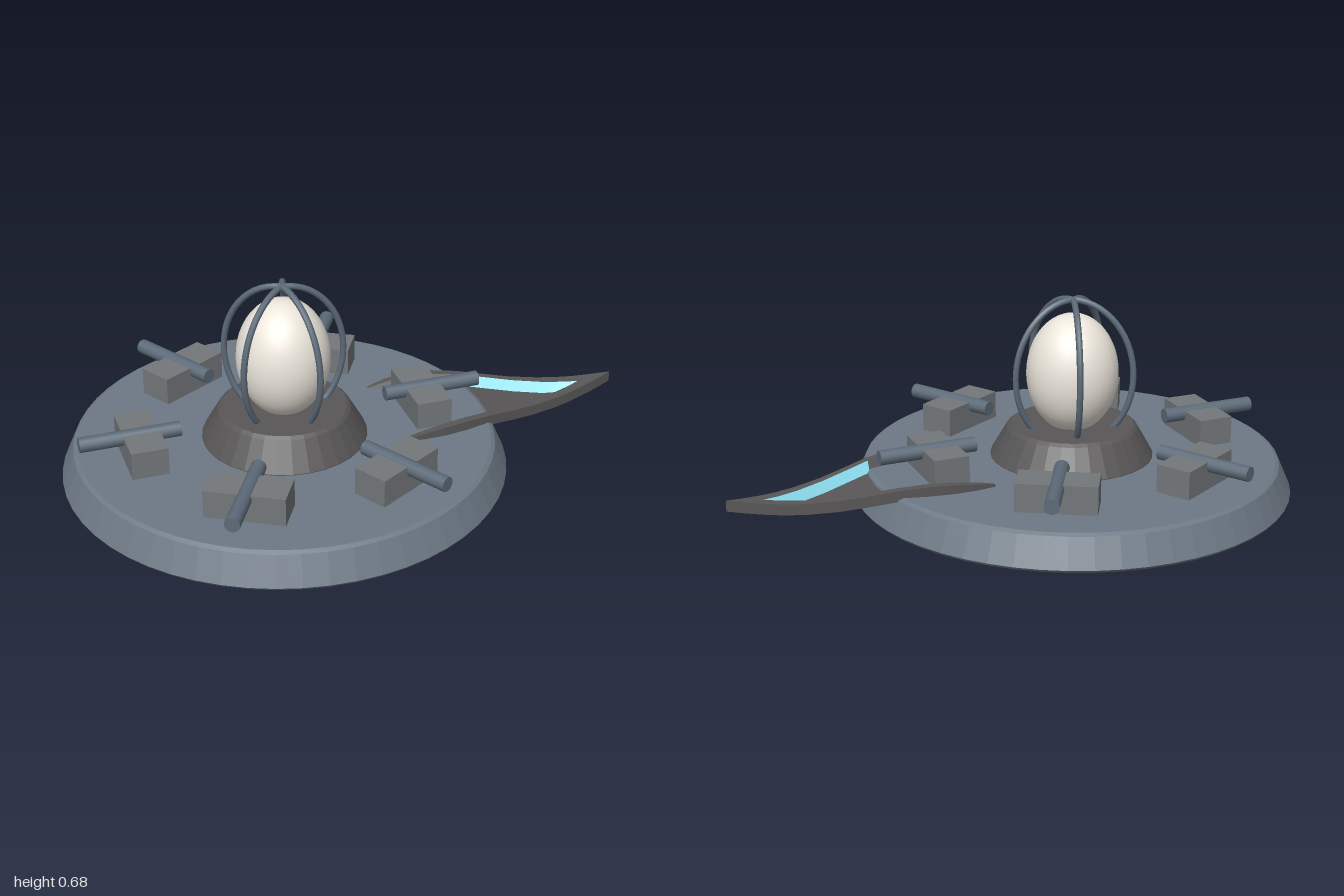
import * as THREE from 'three';
import { toCreasedNormals } from 'three/addons/utils/BufferGeometryUtils.js';

const CX = -0.235; // axis of the round base
const mat = (color, extra = {}) => new THREE.MeshStandardMaterial({ color, ...extra });
const steel = mat(0x6d7985), dark = mat(0x585656), grey = mat(0x73777a), pipe = mat(0x5c6a78);
const shell = mat(0xece6dc);
const blade = mat(0x585656, { side: THREE.DoubleSide });
const glow = mat(0x8fe3f5, { side: THREE.DoubleSide });

function add(parent, name, geometry, material, x = 0, y = 0, z = 0) {
  const mesh = new THREE.Mesh(geometry, material);
  mesh.name = name;
  mesh.position.set(x, y, z);
  parent.add(mesh);
  return mesh;
}

function lathe(profile, sides) {
  const points = profile.map(([r, y]) => new THREE.Vector2(r, y));
  return toCreasedNormals(new THREE.LatheGeometry(points, sides), 0.1);
}

// Ribbon of quads between two edges with the same number of points
function ribbon(a, b) {
  const pos = [], index = [];
  a.forEach((p, k) => {
    pos.push(...p, ...b[k]);
    if (k) {
      const n = 2 * k;
      index.push(n - 2, n - 1, n, n, n - 1, n + 1);
    }
  });
  const g = new THREE.BufferGeometry();
  g.setAttribute('position', new THREE.Float32BufferAttribute(pos, 3));
  g.setIndex(index);
  g.computeVertexNormals();
  return g;
}

function createProw() {
  const prow = new THREE.Group();
  prow.name = 'prow';
  // x, top height, outer half width, inner half width
  const rows = [
    [0.135, 0.122, 0.195, 0.183], [0.2, 0.136, 0.204, 0.182], [0.28, 0.146, 0.204, 0.176],
    [0.37, 0.148, 0.191, 0.162], [0.47, 0.14, 0.166, 0.138], [0.56, 0.126, 0.139, 0.111],
    [0.65, 0.114, 0.111, 0.081], [0.75, 0.108, 0.08, 0.045], [0.82, 0.109, 0.058, 0.02],
    [0.875, 0.113, 0.04, 0], [0.94, 0.121, 0.02, 0], [1, 0.13, 0, 0],
  ];
  const edge = (f) => rows.map(([x, y, w, i]) => {
    const [h, z] = f(y, w, i);
    return [x, h, z];
  });
  const floorY = (y, i) => y - Math.min(0.036, i * 1.5);
  const floorZ = (i) => Math.max(0, i - 0.02);
  for (const s of [1, -1]) {
    const side = s > 0 ? 'left' : 'right';
    const bottom = edge((y, w) => [y - 0.038, s * w]);
    const top = edge((y, w) => [y, s * w]);
    const inner = edge((y, w, i) => [y, s * i]);
    const lip = edge((y, w, i) => [floorY(y, i), s * floorZ(i)]);
    add(prow, side + 'ProwSide', ribbon(bottom, top), blade);
    add(prow, side + 'ProwRim', ribbon(top, inner), blade);
    add(prow, side + 'ProwInnerWall', ribbon(inner.slice(0, 5), lip.slice(0, 5)), blade);
    add(prow, side + 'LightStrip', ribbon(inner.slice(4, 10), lip.slice(4, 10)), glow);
  }
  const lipEdge = (s) => edge((y, w, i) => [floorY(y, i), s * floorZ(i)]);
  const lowEdge = (s) => edge((y, w) => [y - 0.038, s * w]);
  add(prow, 'prowFloor', ribbon(lipEdge(1), lipEdge(-1)), blade);
  add(prow, 'prowUnderside', ribbon(lowEdge(-1), lowEdge(1)), blade);
  return prow;
}

export function createModel() {
  const root = new THREE.Group();
  root.name = 'saucerPlatform';

  // Round base and raised pedestal
  add(root, 'base', lathe([[0, 0], [0.757, 0], [0.765, 0.01], [0.722, 0.107], [0.708, 0.115], [0, 0.115]], 56), steel, CX);
  add(root, 'pedestal', lathe([[0, 0.1], [0.286, 0.1], [0.284, 0.118], [0.228, 0.216], [0.215, 0.226], [0, 0.226]], 32), dark, CX);

  // Egg in its cage of five ribs
  const egg = add(root, 'egg', new THREE.SphereGeometry(1, 32, 24), shell, CX, 0.41, 0);
  egg.scale.set(0.16, 0.21, 0.16);
  const cage = new THREE.Group();
  cage.name = 'cage';
  cage.position.set(CX, 0.41, 0);
  const arc = [];
  for (let k = 0; k <= 16; k++) {
    const t = Math.PI / 2 - (k / 16) * 2.45;
    arc.push(new THREE.Vector3(0.213 * Math.cos(t), 0.26 * Math.sin(t), 0));
  }
  const ribGeo = new THREE.TubeGeometry(new THREE.CatmullRomCurve3(arc), 24, 0.011, 8);
  for (let k = 0; k < 5; k++) {
    add(cage, 'cageRib', ribGeo, pipe).rotation.y = (k * Math.PI * 2) / 5;
  }
  root.add(cage);

  // Six blocks, each with a radial barrel
  const blockGeo = new THREE.BoxGeometry(0.125, 0.1, 0.27);
  const barrelGeo = new THREE.CylinderGeometry(0.026, 0.026, 0.345, 14).rotateZ(Math.PI / 2);
  for (let k = 0; k < 6; k++) {
    const turret = new THREE.Group();
    turret.name = 'turret';
    turret.position.x = CX;
    turret.rotation.y = (k * Math.PI) / 3;
    add(turret, 'turretBlock', blockGeo, grey, 0.5, 0.163, 0);
    add(turret, 'turretBarrel', barrelGeo, pipe, 0.537, 0.199, 0);
    root.add(turret);
  }

  root.add(createProw());
  return root;
}
